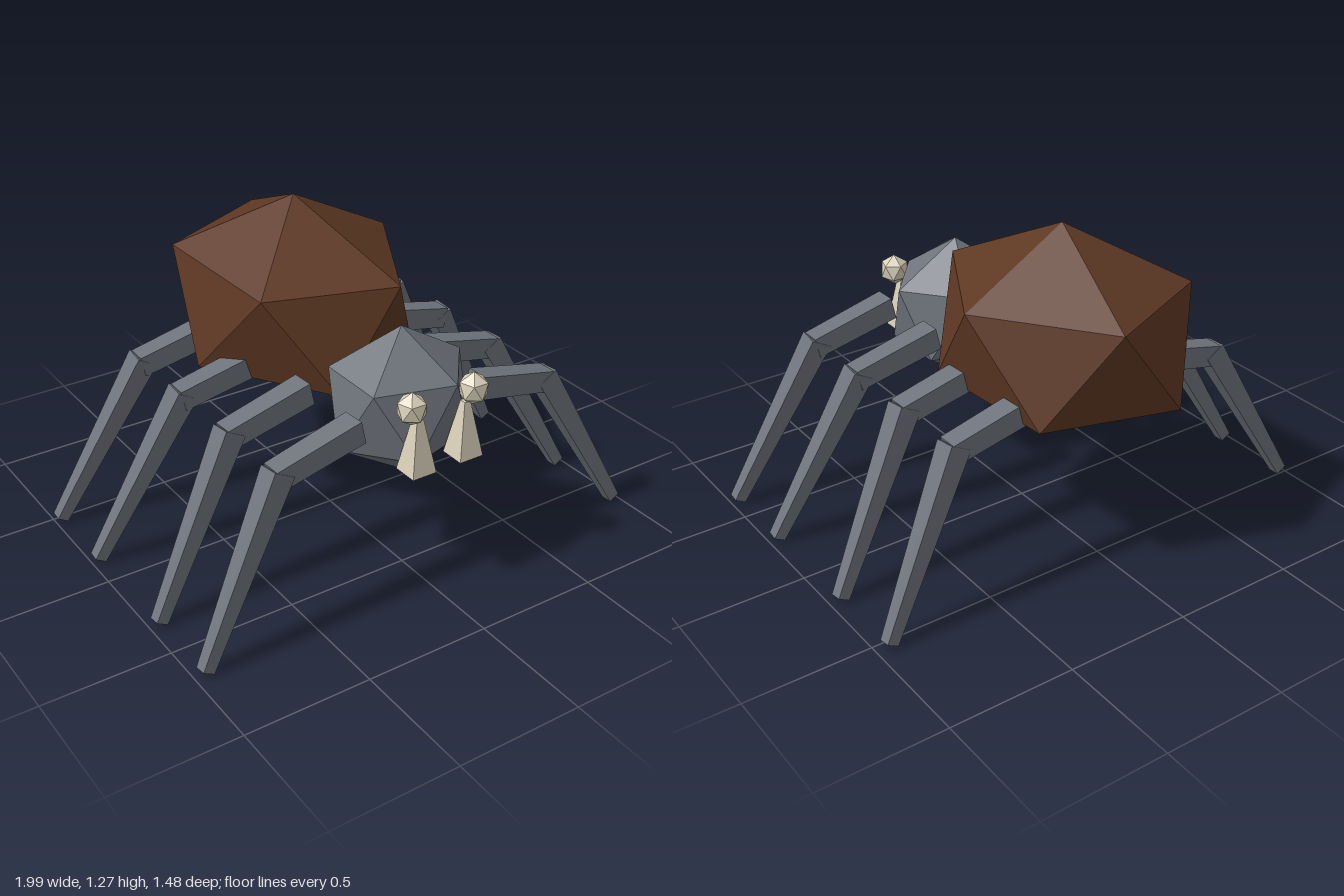
import * as THREE from 'three';

const material = (name, color) => {
  const m = new THREE.MeshStandardMaterial({ color, flatShading: true });
  m.name = name;
  return m;
};

// Icosahedron standing on a point, stretched to three radii
function ballGeometry(rx, ry, rz, turn = 0) {
  return new THREE.IcosahedronGeometry(1, 0)
    .rotateZ(-Math.atan(2 / (1 + Math.sqrt(5))))
    .rotateY(turn)
    .scale(rx, ry, rz);
}

// Square bar from a to b, with widths w0 and w1 at its ends
function barGeometry(a, b, w0, w1) {
  const dir = b.clone().sub(a);
  const geo = new THREE.CylinderGeometry(w1 * Math.SQRT1_2, w0 * Math.SQRT1_2, dir.length(), 4);
  geo.rotateY(Math.PI / 4);
  const y = dir.clone().normalize();
  const x = new THREE.Vector3().crossVectors(y, new THREE.Vector3(0, 0, 1)).normalize();
  const z = new THREE.Vector3().crossVectors(x, y);
  const mid = a.clone().add(b).multiplyScalar(0.5);
  return geo.applyMatrix4(new THREE.Matrix4().makeBasis(x, y, z).setPosition(mid));
}

export function createModel() {
  const grey = material('grey shell', 0x6f747c);
  const brown = material('brown abdomen', 0x5e3823);
  const cream = material('cream', 0xdad1ba);
  const spider = new THREE.Group();
  spider.name = 'spider';

  const add = (parent, name, geo, mat, x = 0, y = 0, z = 0) => {
    const mesh = new THREE.Mesh(geo, mat);
    mesh.name = name;
    mesh.position.set(x, y, z);
    parent.add(mesh);
    return mesh;
  };

  // Body
  const abdomen = add(spider, 'abdomen', ballGeometry(0.5, 0.419, 0.587, 0.052), brown, -0.015, 0.853, -0.24);
  abdomen.rotation.x = 0.025;
  add(spider, 'head', ballGeometry(0.302, 0.298, 0.27), grey, 0.01, 0.688, 0.445);

  // Eyes and fangs
  for (const [side, eyeX, fangX] of [['right', -0.115, -0.085], ['left', 0.157, 0.125]]) {
    add(spider, side + 'Eye', ballGeometry(0.06, 0.065, 0.06, 0.3), cream, eyeX, 0.797, 0.685);
    const fang = barGeometry(new THREE.Vector3(0, 0.535, 0), new THREE.Vector3(0, 0.755, 0), 0.102, 0.026);
    add(spider, side + 'Fang', fang, cream, fangX, 0, 0.682);
  }

  // Legs: root, knee and foot z for each pair, front to back
  const sides = [
    ['left', 1, [[0.555, 0.55, 0.62, 0.97], [0.22, 0.22, 0.285, 0.965],
      [-0.105, -0.11, -0.2, 0.955], [-0.435, -0.44, -0.53, 0.945]]],
    ['right', -1, [[0.572, 0.585, 0.665, 0.955], [0.243, 0.258, 0.335, 0.96],
      [-0.075, -0.085, -0.145, 0.97], [-0.4, -0.41, -0.48, 0.975]]],
  ];
  for (const [side, s, legs] of sides) {
    legs.forEach(([rootZ, kneeZ, footZ, footX], i) => {
      const leg = new THREE.Group();
      leg.name = `${side}Leg${i + 1}`;
      const point = (x, y, z) => new THREE.Vector3(s * x, y, z);
      add(leg, 'upperLeg', barGeometry(point(0.27, 0.718, rootZ), point(0.62, 0.64, kneeZ), 0.092, 0.084), grey);
      add(leg, 'lowerLeg', barGeometry(point(0.6, 0.66, kneeZ), point(footX, 0.016, footZ), 0.088, 0.048), grey);
      spider.add(leg);
    });
  }
  return spider;
}
